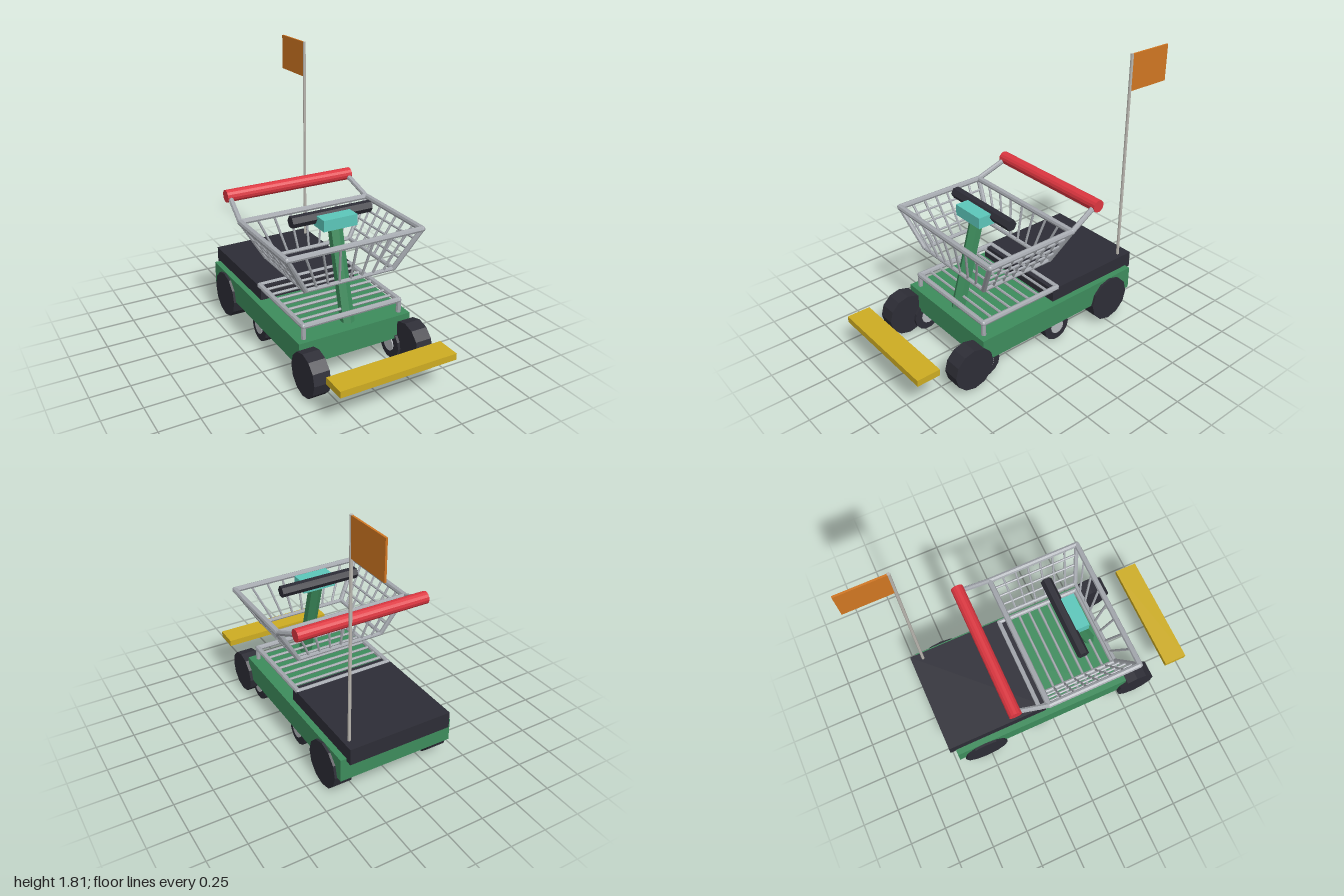
import * as THREE from 'three';

const mat = (name, color, flat = true) => {
  const m = new THREE.MeshStandardMaterial({ color, flatShading: flat });
  m.name = name;
  return m;
};

export function createModel() {
  const green = mat('green paint', 0x3d8c5c);
  const black = mat('black rubber', 0x2d2d36);
  const steel = mat('steel', 0xa4a8ae);
  const hubGrey = mat('hub grey', 0xb4b8bc);
  const red = mat('red grip', 0xdc3640);
  const teal = mat('teal plastic', 0x5cc6ba);
  const yellow = mat('yellow paint', 0xcdac22);
  const orange = mat('orange cloth', 0xd07622);
  const poleGrey = mat('pole grey', 0xbab7b0);

  const root = new THREE.Group();
  const V = (x, y, z) => new THREE.Vector3(x, y, z);
  const group = (name) => {
    const g = new THREE.Group();
    g.name = name;
    root.add(g);
    return g;
  };

  // Box given by its limits on each axis
  const box = (name, m, [x0, x1], [y0, y1], [z0, z1], parent = root) => {
    const mesh = new THREE.Mesh(new THREE.BoxGeometry(x1 - x0, y1 - y0, z1 - z0), m);
    mesh.position.set((x0 + x1) / 2, (y0 + y1) / 2, (z0 + z1) / 2);
    mesh.name = name;
    parent.add(mesh);
  };
  // Straight rod between two points
  const rod = (name, m, a, b, r, parent = root, sides = 8) => {
    const d = b.clone().sub(a);
    const mesh = new THREE.Mesh(new THREE.CylinderGeometry(r, r, d.length(), sides), m);
    mesh.position.copy(a).add(b).multiplyScalar(0.5);
    mesh.quaternion.setFromUnitVectors(V(0, 1, 0), d.normalize());
    mesh.name = name;
    parent.add(mesh);
  };
  // Cylinder lying along x
  const axle = (name, m, x, y, z, r, w, sides, parent = root) => {
    const mesh = new THREE.Mesh(new THREE.CylinderGeometry(r, r, w, sides).rotateZ(Math.PI / 2), m);
    mesh.position.set(x, y, z);
    mesh.name = name;
    parent.add(mesh);
  };
  // Closed frame of rods with a ball at every corner
  const frame = (name, corners, r, parent) => corners.forEach((c, i) => {
    rod(name, steel, c, corners[(i + 1) % corners.length], r, parent);
    const ball = new THREE.Mesh(new THREE.SphereGeometry(r, 8, 6), steel);
    ball.position.copy(c);
    ball.name = name + 'Corner';
    parent.add(ball);
  });

  // Body
  box('chassis', green, [-0.39, 0.39], [0.16, 0.315], [-0.725, 0.53]);
  box('seat', black, [-0.35, 0.35], [0.295, 0.405], [-0.765, -0.06]);
  box('bumper', yellow, [-0.39, 0.39], [0.235, 0.277], [0.845, 1.0]);

  // Drive wheels and small casters
  const wheels = group('wheels');
  for (const s of [-1, 1]) {
    axle('frontWheel', black, s * 0.355, 0.16, 0.61, 0.14, 0.11, 12, wheels);
    axle('rearWheel', black, s * 0.343, 0.157, -0.53, 0.155, 0.125, 12, wheels);
    for (const z of [0.475, -0.105]) {
      axle('caster', black, s * 0.315, 0.1, z, 0.1, 0.065, 14, wheels);
      axle('casterHub', hubGrey, s * 0.315, 0.1, z, 0.05, 0.08, 12, wheels);
    }
  }

  // Low rack on the deck
  const rack = group('rack');
  const rx = 0.335, ry = 0.398, rz0 = -0.105, rz1 = 0.485;
  frame('rackRail', [V(-rx, ry, rz0), V(rx, ry, rz0), V(rx, ry, rz1), V(-rx, ry, rz1)], 0.018, rack);
  for (const x of [-rx, rx]) rod('rackPost', steel, V(x, 0.3, rz1), V(x, ry, rz1), 0.016, rack);
  for (let i = 1; i < 8; i++) {
    const z = rz0 + (rz1 - rz0) * i / 8;
    rod('rackSlat', steel, V(-rx, ry, z), V(rx, ry, z), 0.009, rack, 6);
  }

  // Tapered wire basket
  const basket = group('basket');
  const top = [V(-0.457, 0.865, -0.1), V(0.457, 0.865, -0.1), V(0.457, 0.865, 0.525), V(-0.457, 0.865, 0.525)];
  const low = [V(-0.305, 0.608, -0.06), V(0.305, 0.608, -0.06), V(0.305, 0.608, 0.455), V(-0.305, 0.608, 0.455)];
  frame('basketRim', top, 0.019, basket);
  frame('basketBase', low, 0.013, basket);
  for (let i = 0; i < 4; i++) {
    const j = (i + 1) % 4;
    const side = i % 2 === 1;
    const n = side ? 7 : 8;
    rod('basketCorner', steel, top[i], low[i], 0.016, basket);
    for (let k = 1; k < n; k++) {
      rod('basketWire', steel, top[i].clone().lerp(top[j], k / n), low[i].clone().lerp(low[j], k / n), 0.008, basket, 6);
    }
    // Level wires on the two long sides
    if (side) for (const t of [0.25, 0.5, 0.75]) {
      rod('basketLevelWire', steel, top[i].clone().lerp(low[i], t), top[j].clone().lerp(low[j], t), 0.008, basket, 6);
    }
  }

  // Push handle
  for (const s of [-1, 1]) {
    rod('handleArm', steel, V(s * 0.457, 0.865, -0.1), V(s * 0.43, 0.96, -0.32), 0.017, basket);
  }
  axle('handleGrip', red, 0, 0.96, -0.32, 0.041, 0.91, 14, basket);

  // Steering column, control box and handlebar
  const steering = group('steering');
  rod('steeringColumn', green, V(0, 0.3, 0.43), V(0, 0.92, 0.255), 0.045, steering, 6);
  box('controlBox', teal, [-0.115, 0.115], [0.89, 0.962], [0.21, 0.335], steering);
  axle('handlebar', black, 0, 0.943, 0.218, 0.038, 0.55, 6, steering);

  // Safety flag
  const flag = group('safetyFlag');
  rod('flagPole', poleGrey, V(0.31, 0.38, -0.685), V(0.31, 1.807, -0.685), 0.01, flag);
  box('flagCloth', orange, [0.304, 0.316], [1.57, 1.805], [-1.0, -0.69], flag);

  return root;
}
